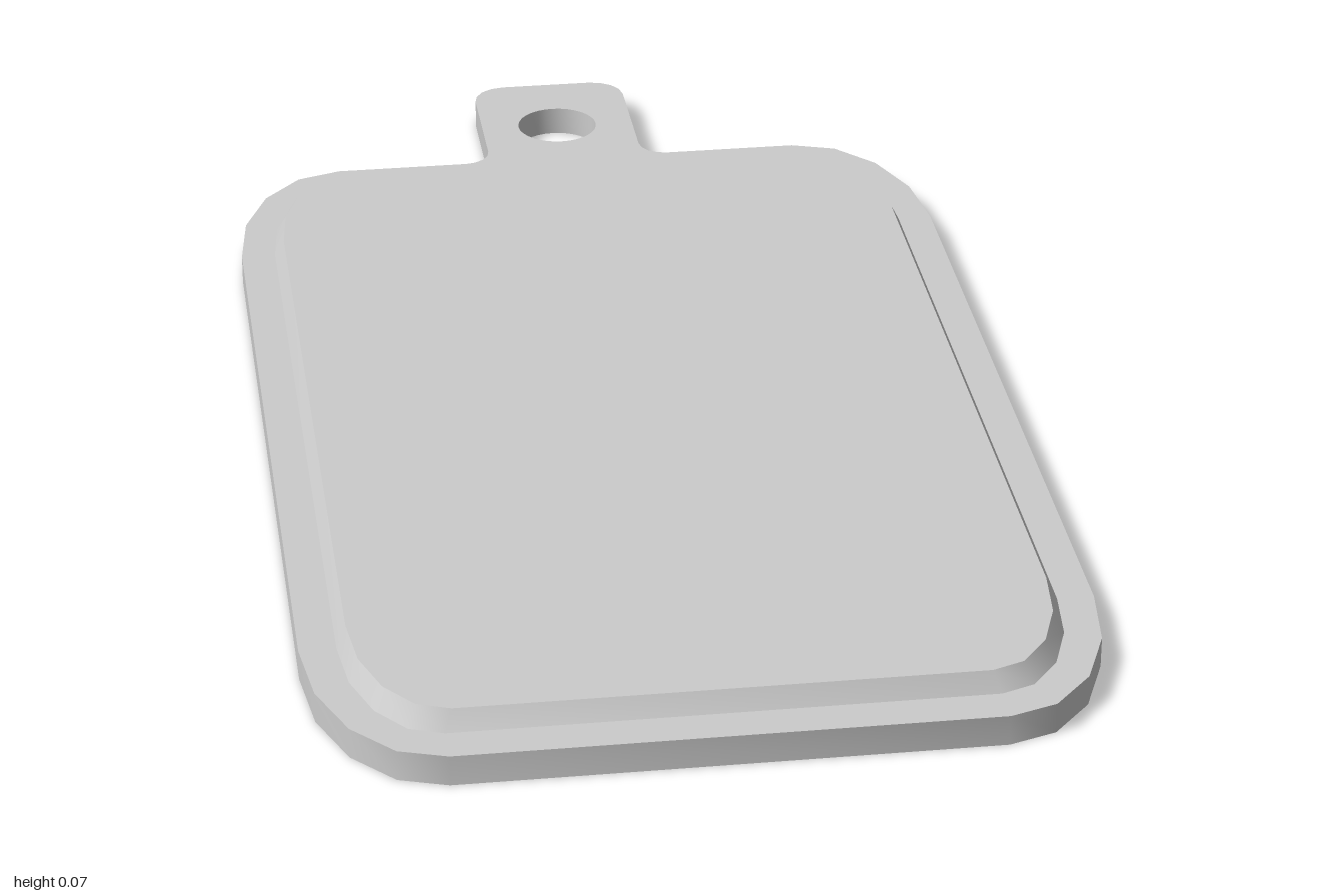
import * as THREE from 'three';
import { toCreasedNormals } from 'three/addons/utils/BufferGeometryUtils.js';

const PLATE_TOP = 0.043, PANEL_TOP = 0.07;

// Points along an elliptical arc, angles in quarter turns
function arc(cx, cy, rx, ry, from, to, steps = 4) {
  return Array.from({ length: steps + 1 }, (_, i) => {
    const a = (from + (to - from) * i / steps) * Math.PI / 2;
    return new THREE.Vector2(cx + rx * Math.cos(a), cy + ry * Math.sin(a));
  });
}

// Rounded outline sharing corner centres; "back" is inserted along the rear edge
function outline(rx, ry, back = []) {
  return new THREE.Shape([
    ...arc(0.36, -0.72, rx, ry, -1, 0),
    ...arc(0.36, 0.44, rx, ry, 0, 1),
    ...back,
    ...arc(-0.36, 0.44, rx, ry, 1, 2),
    ...arc(-0.36, -0.72, rx, ry, 2, 3),
  ]);
}

// Extrude upward: shape y becomes -z
function slab(shape, bottom, top) {
  const g = new THREE.ExtrudeGeometry(shape, { depth: top - bottom, bevelEnabled: false });
  return g.rotateX(-Math.PI / 2).translate(0, bottom, 0);
}

export function createModel() {
  const group = new THREE.Group();
  group.name = 'hangTag';
  const material = new THREE.MeshStandardMaterial({ color: 0xcccccc });
  const add = (name, geometry) => {
    const mesh = new THREE.Mesh(toCreasedNormals(geometry, 0.7), material);
    mesh.name = name;
    group.add(mesh);
  };

  // Base plate with filleted hanging tab and round hole
  const tab = [
    ...arc(0.16, 0.76, 0.04, 0.04, -1, -2),
    ...arc(0.07, 0.95, 0.05, 0.05, 0, 1),
    ...arc(-0.07, 0.95, 0.05, 0.05, 1, 2),
    ...arc(-0.16, 0.76, 0.04, 0.04, 0, -1),
  ];
  const plate = outline(0.17, 0.28, tab);
  plate.holes.push(new THREE.Path(arc(0, 0.845, 0.062, 0.062, 4, 0, 32)));
  add('basePlateWithTab', slab(plate, 0, PLATE_TOP));

  // Raised panel, its top pulled in for sloping sides
  const panel = slab(outline(0.12, 0.225), PLATE_TOP, PANEL_TOP);
  const p = panel.attributes.position;
  const midZ = 0.14;
  for (let i = 0; i < p.count; i++) {
    if (p.getY(i) < PANEL_TOP - 0.001) continue;
    p.setX(i, p.getX(i) * 0.972);
    p.setZ(i, midZ + (p.getZ(i) - midZ) * 0.981);
  }
  add('raisedPanel', panel);

  return group;
}
